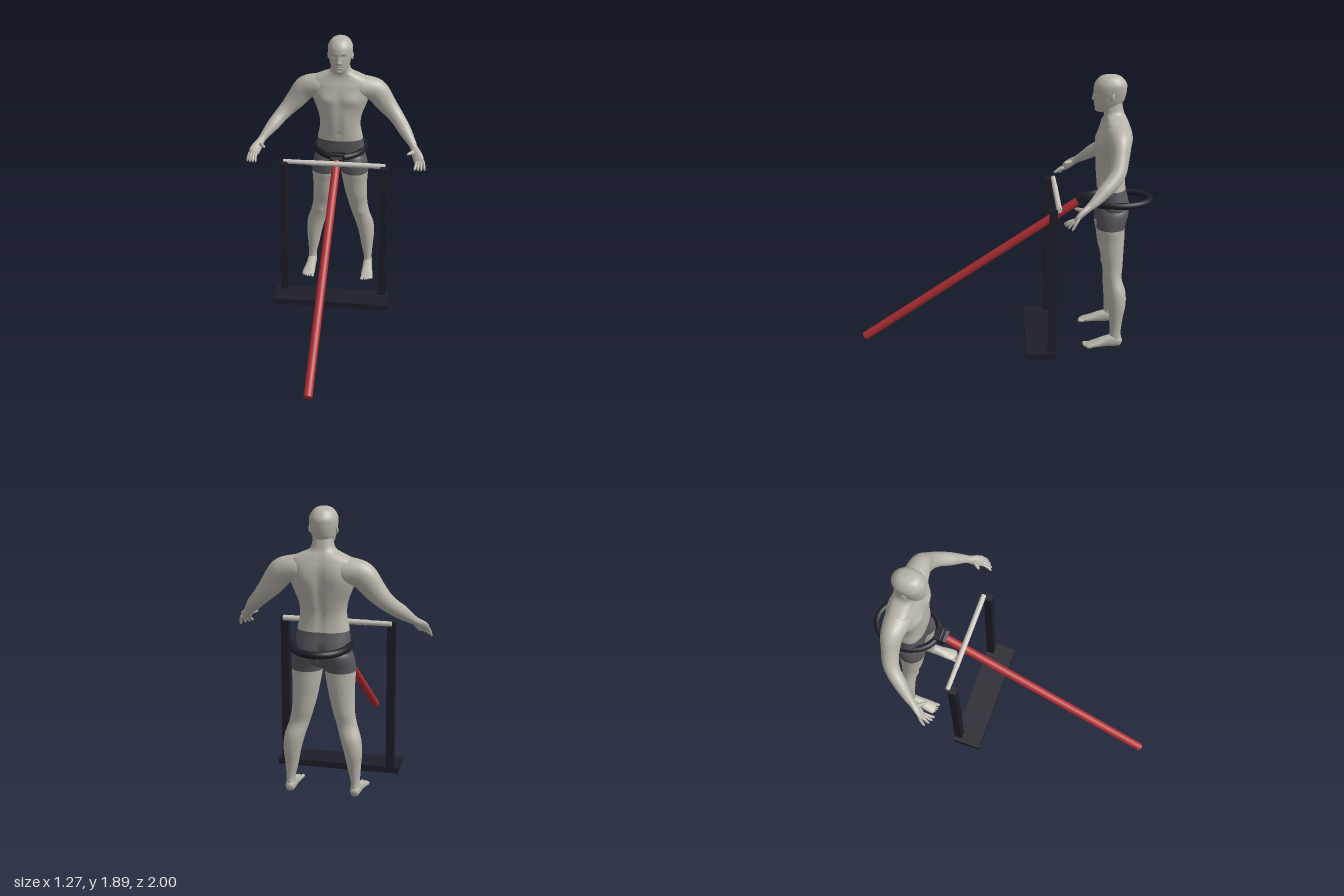
import * as THREE from 'three';

const mat = (name, color) => Object.assign(new THREE.MeshStandardMaterial({ color }), { name });
const skin = mat('skin grey', 0xb8b4aa);
const cloth = mat('shorts grey', 0x57575d);
const dark = mat('dark frame', 0x1e1e29);
const red = mat('red pole', 0xb02f33);
const pale = mat('pale bar', 0xc6c4ba);

const Y = new THREE.Vector3(0, 1, 0), Z = new THREE.Vector3(0, 0, 1);
const HEM = 0.86, WAIST = 1.122;

// Smooth closed skin through cross-sections [x, y, z, radiusU, radiusV].
// flat: rings stay horizontal; ref: direction of radiusV; power < 1: boxier rings;
// bumps: [x, y, widthX, widthY, height, side] raise (+) or sink (-) the front (1) or back (-1).
// Faces between hem and waist get the second material.
function loft(sections, { flat = false, ref = Z, power = 1, bumps = [], rows = 6, around = 32 } = {}) {
  const path = new THREE.CatmullRomCurve3(sections.map(s => new THREE.Vector3(s[0], s[1], s[2])), false, 'catmullrom', 0.5);
  const radii = new THREE.SplineCurve(sections.map(s => new THREE.Vector2(s[3], s[4])));
  const n = (sections.length - 1) * rows, last = n * around, pos = [], main = [], second = [];
  const round = c => Math.sign(c) * Math.pow(Math.abs(c), power);
  const facesAt = t => {
    const y = path.getPoint(t).y;
    return y > HEM && y < WAIST ? second : main;
  };
  for (let i = 0; i <= n; i++) {
    const c = path.getPoint(i / n), r = radii.getPoint(i / n);
    const t = flat ? Y.clone() : path.getTangent(i / n);
    const v = ref.clone().addScaledVector(t, -ref.dot(t)).normalize();
    const u = t.clone().cross(v);
    // Horizontal rings listed from the top down run the other way round
    if (flat && sections[0][1] > sections[1][1]) u.negate();
    for (let j = 0; j < around; j++) {
      const a = j / around * Math.PI * 2, sin = Math.sin(a);
      const p = c.clone().addScaledVector(u, Math.max(r.x, 0.0005) * round(Math.cos(a)))
        .addScaledVector(v, Math.max(r.y, 0.0005) * round(sin));
      let dz = 0;
      for (const [bx, by, wx, wy, h, side] of bumps) {
        if (sin * side <= 0) continue;
        const ex = (Math.abs(p.x) - bx) / wx, ey = (p.y - by) / wy;
        dz += side * h * Math.exp(-ex * ex - ey * ey) * Math.min(1, Math.abs(sin) * 2);
      }
      pos.push(p.x, p.y, p.z + dz);
      if (i === n) continue;
      const j2 = (j + 1) % around, A = i * around + j, B = A + around, C = i * around + j2, D = C + around;
      facesAt((i + 0.5) / n).push(A, B, C, C, B, D);
    }
  }
  // End caps
  for (let j = 1; j < around - 1; j++) {
    facesAt(0).push(0, j, j + 1);
    facesAt(1).push(last, last + j + 1, last + j);
  }
  const g = new THREE.BufferGeometry();
  g.setAttribute('position', new THREE.Float32BufferAttribute(pos, 3));
  g.setIndex([...main, ...second]);
  g.addGroup(0, main.length, 0);
  if (second.length) g.addGroup(main.length, second.length, 1);
  g.computeVertexNormals();
  return g;
}

export function createModel() {
  const root = new THREE.Group();
  root.name = 'figureWithHarnessFrame';
  const add = (parent, name, geometry, material, x = 0, y = 0, z = 0) => {
    const m = new THREE.Mesh(geometry, material);
    m.name = name;
    m.position.set(x, y, z);
    parent.add(m);
    return m;
  };
  const group = name => {
    const g = new THREE.Group();
    g.name = name;
    root.add(g);
    return g;
  };

  // Torso with hips and neck
  const body = group('body');
  add(body, 'torso', loft([
    [0, 0.872, -0.715, 0.03, 0.03], [0, 0.9, -0.718, 0.105, 0.075], [0, 0.94, -0.722, 0.155, 0.092],
    [0, 0.99, -0.724, 0.182, 0.101], [0, 1.05, -0.72, 0.173, 0.103], [0, 1.13, -0.71, 0.162, 0.095],
    [0, 1.22, -0.705, 0.146, 0.095], [0, 1.3, -0.71, 0.155, 0.103], [0, 1.38, -0.717, 0.185, 0.11],
    [0, 1.45, -0.722, 0.21, 0.11], [0, 1.52, -0.728, 0.225, 0.1], [0, 1.565, -0.73, 0.21, 0.085],
    [0, 1.597, -0.727, 0.145, 0.075], [0, 1.625, -0.718, 0.085, 0.069], [0, 1.66, -0.71, 0.067, 0.067],
    [0, 1.72, -0.708, 0.06, 0.058],
  ], {
    flat: true, power: 0.88, rows: 8, around: 72, bumps: [
      [0.09, 1.43, 0.065, 0.045, 0.014, 1], [0, 1.42, 0.015, 0.07, -0.006, 1],
      [0.045, 1.27, 0.03, 0.09, 0.005, 1], [0, 1.175, 0.01, 0.01, -0.008, 1],
      [0, 1.35, 0.022, 0.2, -0.016, -1], [0.1, 1.47, 0.05, 0.07, 0.012, -1],
      [0.08, 0.97, 0.055, 0.06, 0.014, -1], [0, 0.96, 0.014, 0.08, -0.018, -1],
    ],
  }), [skin, cloth]);

  // Head, the face shaped by bumps
  add(body, 'head', loft([
    [0, 1.632, -0.635, 0.001, 0.001], [0, 1.638, -0.638, 0.034, 0.034], [0, 1.66, -0.662, 0.056, 0.07],
    [0, 1.7, -0.68, 0.071, 0.094], [0, 1.74, -0.686, 0.08, 0.104], [0, 1.78, -0.688, 0.087, 0.109],
    [0, 1.82, -0.69, 0.086, 0.107], [0, 1.855, -0.69, 0.068, 0.085], [0, 1.876, -0.69, 0.042, 0.054],
    [0, 1.885, -0.69, 0.001, 0.001],
  ], {
    flat: true, power: 0.95, rows: 9, around: 80, bumps: [
      [0, 1.722, 0.013, 0.013, 0.014, 1], [0, 1.745, 0.01, 0.022, 0.008, 1], [0.013, 1.717, 0.008, 0.007, 0.006, 1],
      [0.032, 1.766, 0.016, 0.011, -0.01, 1], [0.031, 1.766, 0.009, 0.006, 0.005, 1], [0.03, 1.787, 0.025, 0.008, 0.003, 1],
      [0, 1.693, 0.02, 0.005, 0.006, 1], [0, 1.679, 0.018, 0.005, 0.006, 1], [0, 1.686, 0.024, 0.003, -0.004, 1],
      [0, 1.667, 0.02, 0.006, -0.003, 1], [0, 1.65, 0.022, 0.012, 0.006, 1],
    ],
  }), skin);

  for (const s of [1, -1]) {
    const side = s > 0 ? 'left' : 'right';
    const flip = list => list.map(([x, ...rest]) => [x * s, ...rest]);

    const ear = add(body, side + 'Ear', new THREE.SphereGeometry(1, 16, 12), skin, s * 0.083, 1.745, -0.695);
    ear.scale.set(0.009, 0.028, 0.017);
    ear.rotation.set(-0.2, -s * 0.3, 0);

    // Arm from the collarbone down to the palm
    add(body, side + 'Arm', loft(flip([
      [0.05, 1.5, -0.728, 0.05, 0.06], [0.13, 1.5, -0.73, 0.085, 0.088], [0.2, 1.497, -0.733, 0.083, 0.083],
      [0.258, 1.472, -0.735, 0.084, 0.073], [0.32, 1.393, -0.728, 0.073, 0.06], [0.38, 1.325, -0.712, 0.058, 0.054],
      [0.428, 1.275, -0.675, 0.05, 0.049], [0.475, 1.225, -0.615, 0.045, 0.044], [0.525, 1.17, -0.55, 0.031, 0.031],
      [0.545, 1.145, -0.515, 0.027, 0.024], [0.57, 1.11, -0.468, 0.037, 0.02], [0.588, 1.082, -0.437, 0.036, 0.015],
      [0.598, 1.066, -0.422, 0.015, 0.006],
    ])), skin);

    // Fingers fanned from the knuckles, then the thumb
    for (let k = 0; k < 4; k++) {
      const f = k / 3, mix = (a, b) => a + (b - a) * f;
      const bend = k === 1 || k === 2 ? 0.008 : 0;
      add(body, side + 'Finger' + (k + 1), loft(flip([
        [mix(0.606, 0.568), mix(1.095, 1.075), mix(-0.45, -0.432), 0.01, 0.01],
        [mix(0.621, 0.568), mix(1.066, 1.064), mix(-0.43, -0.395) + bend, 0.01, 0.01],
        [mix(0.629, 0.562), mix(1.03, 1.046), mix(-0.41, -0.366) + bend, 0.008, 0.008],
        [mix(0.629, 0.56), mix(1.02, 1.038), mix(-0.405, -0.358) + bend, 0.001, 0.001],
      ]), { around: 12, rows: 4 }), skin);
    }
    add(body, side + 'Thumb', loft(flip([
      [0.558, 1.128, -0.495, 0.014, 0.014], [0.533, 1.128, -0.462, 0.014, 0.013],
      [0.511, 1.128, -0.435, 0.009, 0.009], [0.504, 1.125, -0.425, 0.001, 0.001],
    ]), { around: 12, rows: 4 }), skin);

    // Leg, covered by the shorts above the hem
    add(body, side + 'Leg', loft(flip([
      [0.07, 1.05, -0.72, 0.05, 0.06], [0.095, 0.97, -0.722, 0.092, 0.1], [0.105, 0.87, -0.706, 0.099, 0.096],
      [0.11, 0.78, -0.712, 0.09, 0.087], [0.12, 0.68, -0.717, 0.08, 0.077], [0.133, 0.59, -0.727, 0.07, 0.063],
      [0.153, 0.51, -0.732, 0.066, 0.053], [0.181, 0.42, -0.75, 0.066, 0.06], [0.197, 0.33, -0.753, 0.057, 0.058],
      [0.203, 0.23, -0.748, 0.043, 0.045], [0.21, 0.14, -0.745, 0.03, 0.038], [0.212, 0.09, -0.745, 0.03, 0.042],
      [0.212, 0.05, -0.745, 0.025, 0.03], [0.212, 0.04, -0.745, 0.001, 0.001],
    ]), { flat: true, rows: 8, around: 40, bumps: [[0.15, 0.53, 0.03, 0.03, 0.007, 1]] }), [skin, cloth]);

    // Foot and toes
    add(body, side + 'Foot', loft(flip([
      [0.212, 0.06, -0.792, 0.001, 0.001], [0.212, 0.065, -0.78, 0.026, 0.029], [0.212, 0.078, -0.735, 0.034, 0.043],
      [0.214, 0.07, -0.67, 0.036, 0.035], [0.218, 0.057, -0.61, 0.043, 0.023], [0.221, 0.05, -0.57, 0.044, 0.015],
      [0.221, 0.047, -0.548, 0.034, 0.009], [0.221, 0.047, -0.542, 0.001, 0.001],
    ]), { ref: Y, power: 0.9, around: 28 }), skin);
    for (let k = 0; k < 5; k++) {
      const toe = add(body, side + 'Toe' + (k + 1), new THREE.SphereGeometry(1, 12, 10), skin,
        s * (k ? 0.195 + k * 0.0155 : 0.187), 0.046, -0.546 - k * k * 0.0015);
      toe.scale.set(k ? 0.0085 : 0.013, k ? 0.01 : 0.012, 0.025);
    }
  }

  // Waist ring with its joint block
  const harness = group('harness');
  const loop = [];
  for (let i = 0; i < 24; i++) {
    const a = i / 24 * Math.PI * 2;
    loop.push(new THREE.Vector3(0.172 * Math.cos(a), 1.028, -0.76 + 0.216 * Math.sin(a)));
  }
  add(harness, 'waistRing', new THREE.TubeGeometry(new THREE.CatmullRomCurve3(loop, true), 96, 0.023, 16, true), dark);
  add(harness, 'jointBlock', new THREE.BoxGeometry(0.1, 0.066, 0.065), dark, 0, 1.028, -0.528);

  // Sloping pole and its collar
  const low = new THREE.Vector3(0, 0.024, 0.984), high = new THREE.Vector3(0, 1.025, -0.51);
  const along = high.clone().sub(low), turn = new THREE.Quaternion().setFromUnitVectors(Y, along.clone().normalize());
  const centre = low.clone().add(high).multiplyScalar(0.5);
  add(harness, 'pole', new THREE.CylinderGeometry(0.029, 0.029, along.length(), 32), red, ...centre.toArray()).quaternion.copy(turn);
  add(harness, 'poleCollar', new THREE.BoxGeometry(0.085, 0.052, 0.068), dark, 0, 1.023, -0.515).quaternion.copy(turn);

  // Standing frame with a crossbar
  const frame = group('frame');
  add(frame, 'basePlate', new THREE.BoxGeometry(0.82, 0.042, 0.198), dark, 0, 0.047, -0.232);
  for (const s of [1, -1]) {
    add(frame, s > 0 ? 'leftPost' : 'rightPost', new THREE.BoxGeometry(0.054, 1.04, 0.053), dark, s * 0.355, 0.55, -0.305);
  }
  const rod = (name, r, x0, x1) => add(frame, name, new THREE.CylinderGeometry(r, r, x1 - x0, 24).rotateZ(Math.PI / 2), pale,
    (x0 + x1) / 2, 1.066, -0.342);
  rod('crossbar', 0.0165, -0.36, 0.36);
  rod('crossbarSleeve', 0.0185, -0.2, 0.355);

  return root;
}
